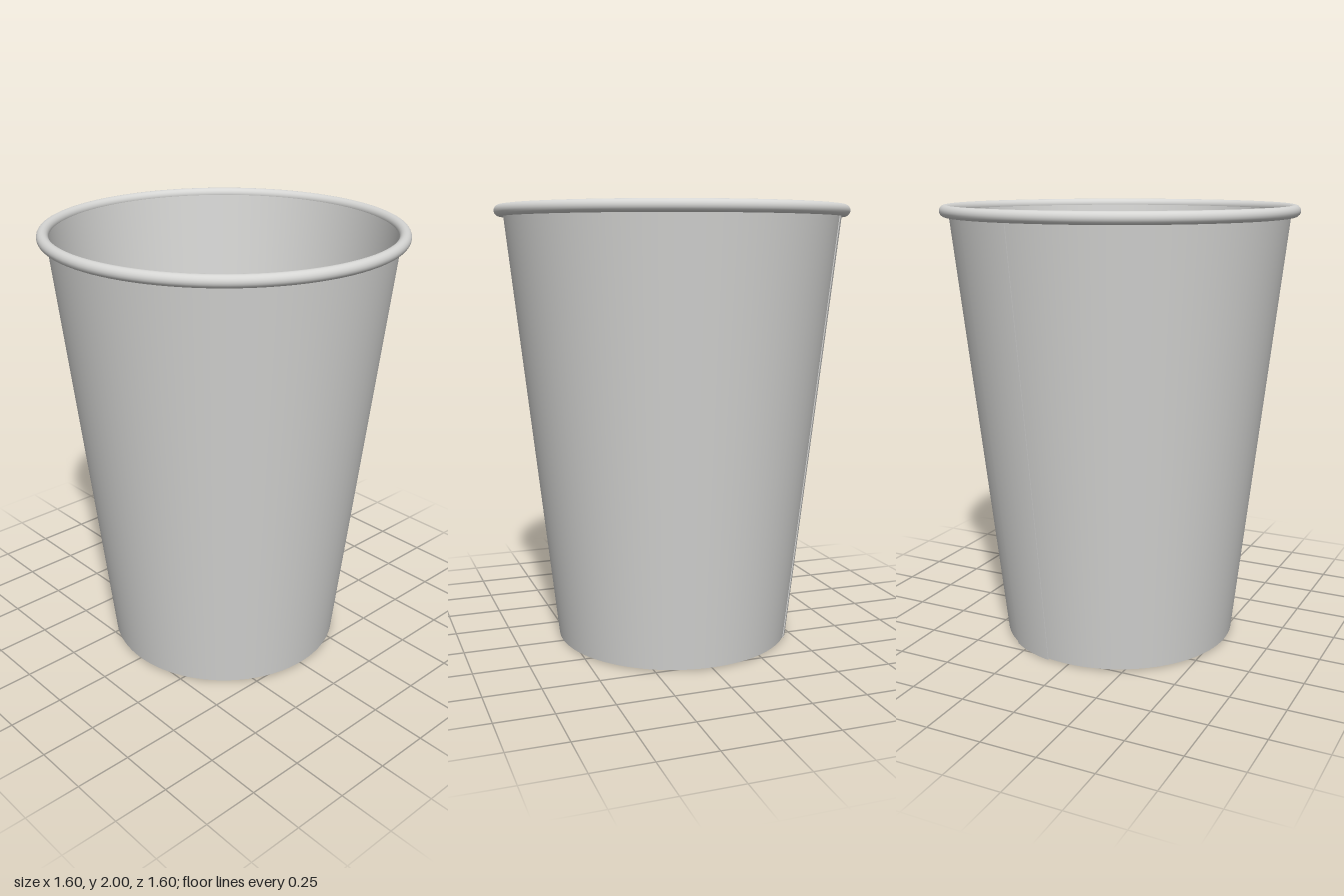
import * as THREE from 'three';

const SEG = 96;
const SLOPE = 0.111; // outward taper of the wall per unit of height
const outerR = (y) => 0.54 + SLOPE * y;
const innerR = (y) => outerR(y) - 0.012;

export function createModel() {
  const cup = new THREE.Group();
  cup.name = 'paperCup';
  const paper = new THREE.MeshStandardMaterial({ color: 0xd6d6d4, side: THREE.DoubleSide });
  paper.name = 'paper';

  const add = (name, geometry, parent = cup) => {
    const mesh = new THREE.Mesh(geometry, paper);
    mesh.name = name;
    parent.add(mesh);
    return mesh;
  };
  // Straight bands are turned one at a time so the edges between them stay crisp
  const band = (name, points, start = 0, length = Math.PI * 2, parent = cup) =>
    add(name, new THREE.LatheGeometry(
      points.map(([r, y]) => new THREE.Vector2(r, y)),
      Math.max(6, Math.round(SEG * length / (Math.PI * 2))), start, length), parent);

  // Tapered wall
  const base = 0.006, top = 1.975, floorY = 0.12, underY = 0.108;
  band('outerWall', [[outerR(base), base], [outerR(top), top]]);
  band('innerWall', [[innerR(top), top], [innerR(floorY), floorY]]);

  // Recessed floor with its folded skirt
  band('floorTop', [[innerR(floorY), floorY], [0, floorY]]);
  band('floorUnderside', [[0, underY], [0.531, underY]]);
  band('skirt', [[0.531, underY], [0.521, base]]);
  band('bottomEdge', [[0.521, base], [outerR(base), base]]);

  // Rolled rim
  const rim = add('rolledRim', new THREE.TorusGeometry(0.772, 0.026, 20, SEG));
  rim.rotation.x = Math.PI / 2;
  rim.position.y = 1.974;

  // Overlapping side seam: a thin closed strip on the back of the left-hand side in front view
  const seam = new THREE.Group();
  seam.name = 'sideSeam';
  cup.add(seam);
  const lift = 0.004, seamTop = 1.955;
  const start = THREE.MathUtils.degToRad(235), span = THREE.MathUtils.degToRad(24);
  band('seamStrip', [
    [outerR(0), 0], [outerR(0) + lift, 0],
  ], start, span, seam);
  band('seamFace', [
    [outerR(0) + lift, 0], [outerR(seamTop) + lift, seamTop],
  ], start, span, seam);
  for (const angle of [start, start + span]) {
    const edge = new THREE.Shape([
      new THREE.Vector2(outerR(0) - 0.003, 0),
      new THREE.Vector2(outerR(0) + lift, 0),
      new THREE.Vector2(outerR(seamTop) + lift, seamTop),
      new THREE.Vector2(outerR(seamTop) - 0.003, seamTop),
    ]);
    add('seamEdge', new THREE.ShapeGeometry(edge), seam).rotation.y = angle - Math.PI / 2;
  }
  return cup;
}
